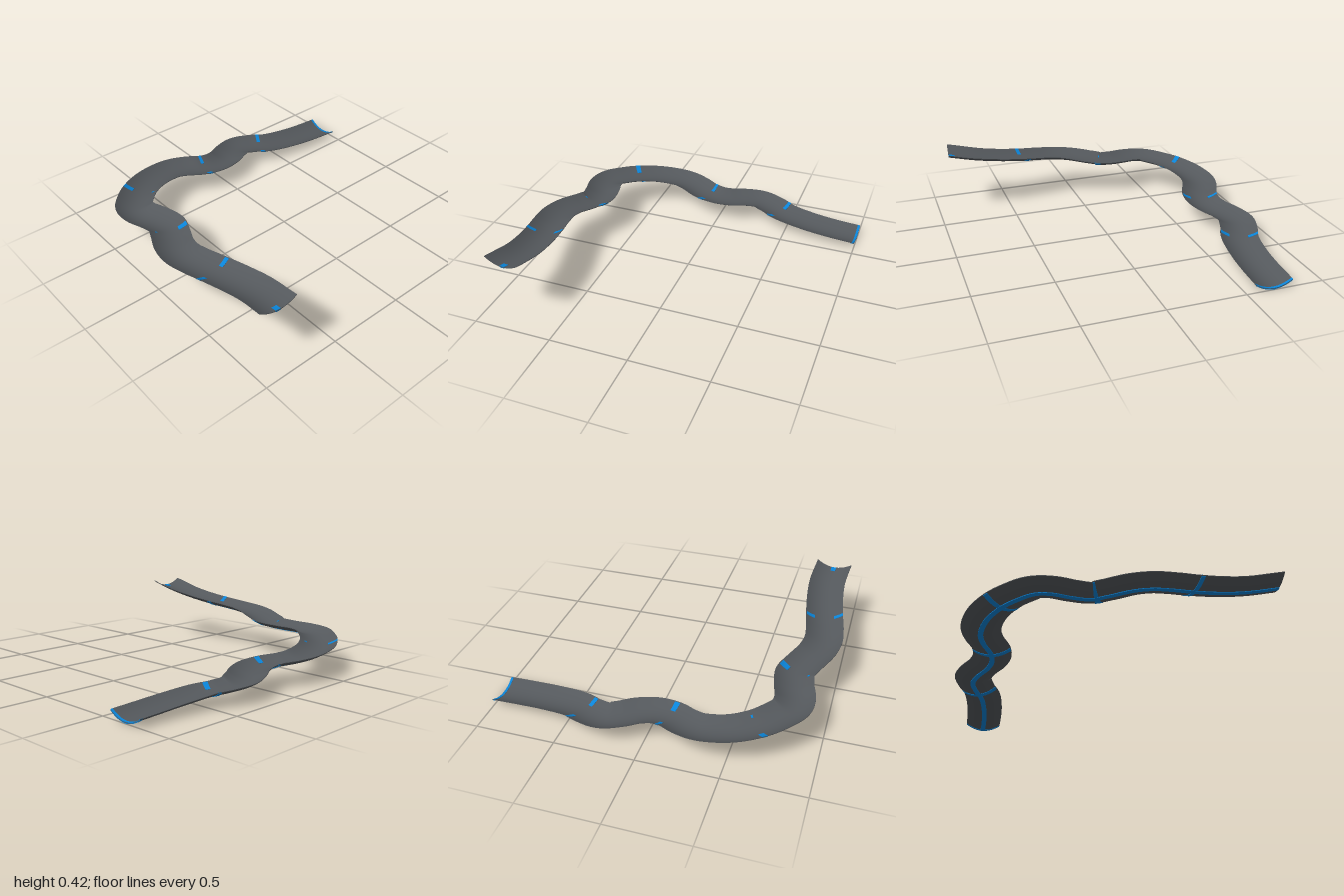
import * as THREE from 'three';
import { toCreasedNormals } from 'three/addons/utils/BufferGeometryUtils.js';

const HALF = 0.12;   // half width of the trough
const DEPTH = 0.042; // rim height above the middle

// Bottom line of the trough, from the high end to the low end
const line = [
  [-0.826, 0.377, 0.896], [-0.81, 0.335, 0.695], [-0.82, 0.305, 0.535], [-0.845, 0.278, 0.36],
  [-0.87, 0.26, 0.22], [-0.88, 0.246, 0.107], [-0.86, 0.233, 0], [-0.80, 0.214, -0.134],
  [-0.765, 0.203, -0.225], [-0.778, 0.195, -0.337], [-0.807, 0.187, -0.455], [-0.797, 0.181, -0.545],
  [-0.727, 0.171, -0.636], [-0.642, 0.16, -0.711], [-0.503, 0.145, -0.78], [-0.337, 0.131, -0.802],
  [-0.235, 0.121, -0.775], [-0.128, 0.111, -0.722], [-0.027, 0.102, -0.706], [0.07, 0.093, -0.727],
  [0.166, 0.083, -0.775], [0.262, 0.072, -0.802], [0.364, 0.06, -0.775], [0.47, 0.047, -0.727],
  [0.647, 0.03, -0.695], [0.807, 0.018, -0.682], [0.998, 0.008, -0.676],
].map((p) => new THREE.Vector3(...p));
const LAST = line.length - 1;
const curve = new THREE.CatmullRomCurve3(line);
const UP = new THREE.Vector3(0, 1, 0);

// Solid strip following the trough: across from u0 to u1, between two heights
// above its surface, from line index i0 to i1
function strip(u0, u1, low, high, i0, i1) {
  const steps = Math.max(2, Math.ceil((i1 - i0) * 7));
  const n = Math.max(2, Math.ceil((u1 - u0) / 0.015));
  const profile = [];
  const add = (j, off) => {
    const u = u0 + ((u1 - u0) * j) / n;
    profile.push([u, DEPTH * (u / HALF) ** 2 + off]);
  };
  for (let j = 0; j <= n; j++) add(j, low);
  for (let j = n; j >= 0; j--) add(j, high);

  const m = profile.length, pos = [], index = [];
  const quad = (a, b, c, d) => index.push(a, b, c, a, c, d);
  for (let i = 0; i <= steps; i++) {
    const t = (i0 + ((i1 - i0) * i) / steps) / LAST;
    const p = curve.getPoint(t);
    const right = curve.getTangent(t).cross(UP).normalize();
    for (const [u, v] of profile) pos.push(p.x + right.x * u, p.y + v, p.z + right.z * u);
    if (i === steps) continue;
    for (let j = 0; j < m; j++) {
      const k = (j + 1) % m;
      quad(i * m + j, (i + 1) * m + j, (i + 1) * m + k, i * m + k);
    }
  }
  // End caps
  const e = steps * m;
  for (let j = 0; j < n; j++) {
    quad(j, j + 1, m - 2 - j, m - 1 - j);
    quad(e + m - 1 - j, e + m - 2 - j, e + j + 1, e + j);
  }
  const geo = new THREE.BufferGeometry();
  geo.setAttribute('position', new THREE.Float32BufferAttribute(pos, 3));
  geo.setIndex(index);
  return toCreasedNormals(geo, 0.6);
}

// Half of a length, measured in line indices around index i
function halfSpan(i, length) {
  const a = curve.getPoint((i - 0.05) / LAST), b = curve.getPoint((i + 0.05) / LAST);
  return (length / 2) * (0.1 / a.distanceTo(b));
}

export function createModel() {
  const group = new THREE.Group();
  const gray = new THREE.MeshStandardMaterial({ color: 0x54585c });
  gray.name = 'trackGray';
  const blue = new THREE.MeshStandardMaterial({ color: 0x0a84d8 });
  blue.name = 'trimBlue';
  const part = (name, material, ...args) => {
    const mesh = new THREE.Mesh(strip(...args), material);
    mesh.name = name;
    group.add(mesh);
  };

  // Trough and the spine under it
  part('trough', gray, -HALF, HALF, -0.004, 0, 0, LAST);
  part('spine', blue, -0.016, 0.016, -0.008, -0.0035, 0, LAST);

  // Joints: a rib underneath and a mark inside on either wall [index, left mark, right mark]
  const joints = [
    [3, [-0.119, -0.065], [0.06, 0.115]],
    [7.65, [-0.085, -0.07], [0.06, 0.115]],
    [13, [-0.119, -0.06], [0.075, 0.092]],
    [17.2, [-0.119, -0.06], [0.06, 0.115]],
    [22.55, [-0.119, -0.06], [0.06, 0.115]],
  ];
  for (const [i, left, right] of joints) {
    const h = halfSpan(i, 0.028);
    part('rib', blue, -0.118, 0.118, -0.007, -0.0035, i - h, i + h);
    for (const [a, b] of [left, right]) {
      const s = b - a < 0.03 ? h * 0.5 : h;
      part('jointMark', blue, a, b, -0.001, 0.002, i - s, i + s);
    }
  }

  // Mark at the high end and bands at the low end
  part('startMark', blue, -0.016, 0.016, -0.001, 0.002, 0.01, 0.2);
  part('endBand', blue, -0.118, 0.118, -0.001, 0.002, LAST - 0.08, LAST);
  part('endRib', blue, -0.118, 0.118, -0.007, -0.0035, LAST - 0.08, LAST);
  return group;
}
